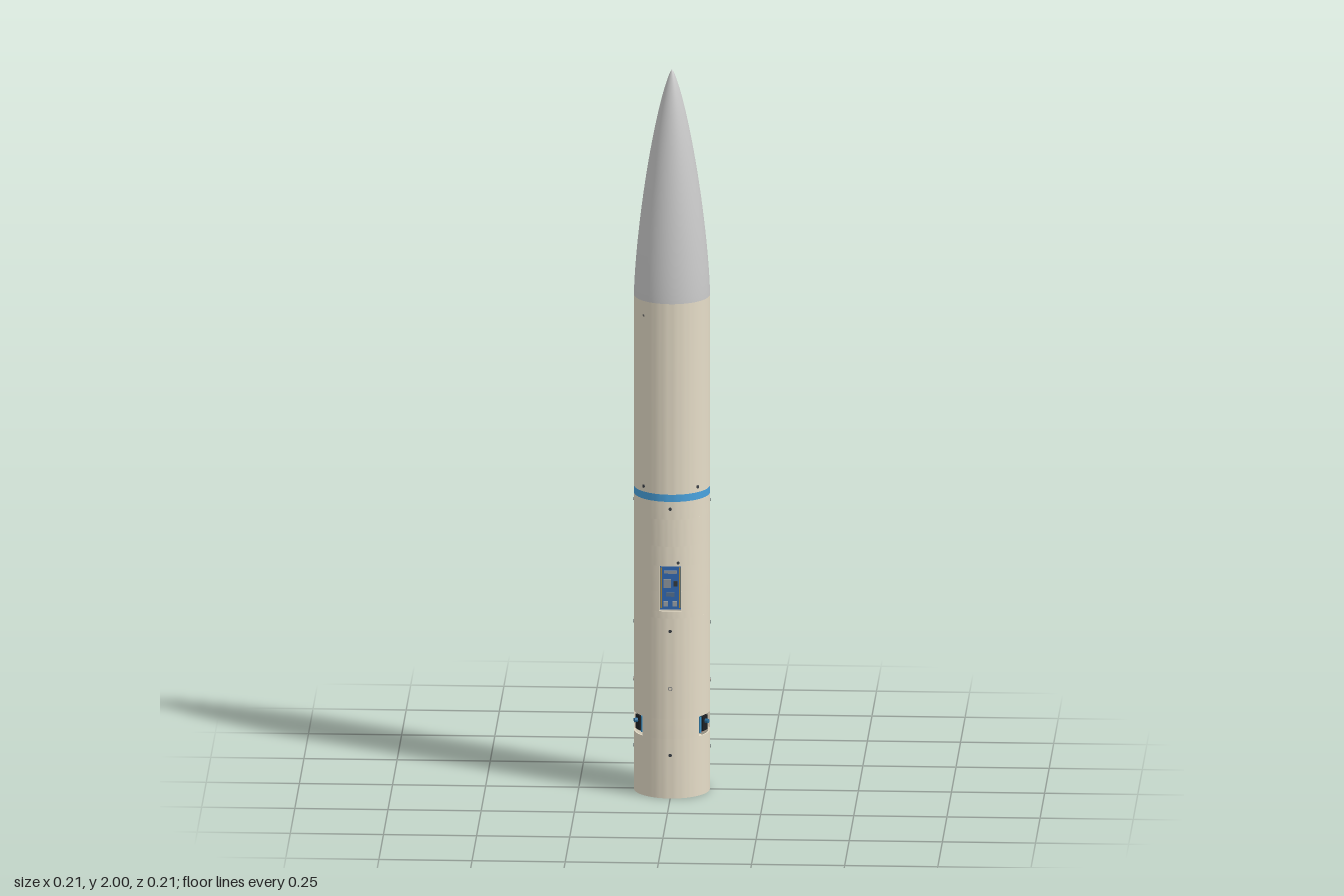
import * as THREE from 'three';
import { toCreasedNormals } from 'three/addons/utils/BufferGeometryUtils.js';

const R = 0.102, WALL = 0.004, NOSE_Y = 1.375, TOP = 2;
const DEG = Math.PI / 180;
const mat = (color, side = THREE.FrontSide) => new THREE.MeshStandardMaterial({ color, side });

// Openings in the airframe: azimuth from +z towards +x, half angle, height range
const WINDOWS = [
  { a: 0, half: 17, y0: 0.52, y1: 0.645 },
  { a: 180, half: 19, y0: 0.5, y1: 0.575 },
  { a: 180, half: 19, y0: 0.7, y1: 0.775 },
  { a: 65, half: 17, y0: 0.165, y1: 0.22 },
  { a: 295, half: 17, y0: 0.165, y1: 0.22 },
];

// Sector of tube wall with inner and outer skin
function wallSector(y0, y1, from, to) {
  const r = R - WALL;
  const profile = [[R, y0], [R, y1], [r, y1], [r, y0], [R, y0]].map(p => new THREE.Vector2(...p));
  const segs = Math.max(4, Math.round((to - from) / 4));
  return toCreasedNormals(new THREE.LatheGeometry(profile, segs, from * DEG, (to - from) * DEG), 0.6);
}

// Tube wall in bands, leaving out every window that crosses a band
function addWall(group, bottom, top, material) {
  const levels = [...new Set([bottom, top, ...WINDOWS.flatMap(w => [w.y0, w.y1])])]
    .filter(y => y >= bottom && y <= top).sort((a, b) => a - b);
  for (let i = 0; i + 1 < levels.length; i++) {
    const [y0, y1] = [levels[i], levels[i + 1]];
    const gaps = WINDOWS.filter(w => w.y0 <= y0 && w.y1 >= y1).sort((a, b) => a.a - b.a);
    const spans = gaps.length
      ? gaps.map((w, k) => {
        const next = gaps[(k + 1) % gaps.length];
        const end = next.a - next.half + (k + 1 === gaps.length ? 360 : 0);
        return [w.a + w.half, end];
      })
      : [[0, 360]];
    for (const [from, to] of spans) {
      const m = new THREE.Mesh(wallSector(y0, y1, from, to), material);
      m.name = 'bodyTube';
      group.add(m);
    }
  }
}

function add(group, name, geometry, color, x, y, z) {
  const m = new THREE.Mesh(geometry, mat(color));
  m.name = name;
  m.position.set(x, y, z);
  group.add(m);
  return m;
}
const box = (w, h, d) => new THREE.BoxGeometry(w, h, d);

// Group turned so that its +z points out of the tube at the given azimuth
function bay(parent, name, azimuth, y) {
  const g = new THREE.Group();
  g.name = name;
  g.rotation.y = azimuth * DEG;
  g.position.y = y;
  parent.add(g);
  return g;
}

export function createModel() {
  const model = new THREE.Group();
  model.name = 'rocket';

  // Airframe and coloured band
  const cream = mat(0xe6ddc8, THREE.DoubleSide);
  addWall(model, 0, 0.825, cream);
  addWall(model, 0.845, NOSE_Y, cream);
  const band = new THREE.Mesh(wallSector(0.825, 0.845, 0, 360), mat(0x4aa3df, THREE.DoubleSide));
  band.name = 'blueBand';
  model.add(band);

  // Nose cone with a rounded ogive profile
  const L = TOP - NOSE_Y, profile = [];
  for (let i = 0; i <= 40; i++) {
    const t = Math.PI * (1 - i / 40);
    const r = R * Math.sqrt(Math.max(0, t - Math.sin(2 * t) / 2) / Math.PI);
    profile.push(new THREE.Vector2(r, TOP - L * (1 - Math.cos(t)) / 2));
  }
  const nose = new THREE.Mesh(new THREE.LatheGeometry(profile, 72), mat(0xcccccc, THREE.DoubleSide));
  nose.name = 'noseCone';
  model.add(nose);

  // Motor tube with dark bore, held by bulkheads
  add(model, 'motorTube', new THREE.CylinderGeometry(0.033, 0.033, 0.4, 40), 0xa0522d, 0, 0.201, 0);
  add(model, 'motorBore', new THREE.CylinderGeometry(0.026, 0.026, 0.01, 40), 0x4a2a1c, 0, 0.005, 0);
  for (const y of [0.13, 0.42, 0.82]) {
    add(model, 'bulkhead', new THREE.CylinderGeometry(R - WALL, R - WALL, 0.008, 48), 0xe6ddc8, 0, y, 0);
  }

  // Front bay: blue circuit board with modules
  const front = bay(model, 'frontBay', 0, 0.5825);
  add(front, 'circuitBoard', box(0.056, 0.122, 0.004), 0x2f68b5, 0, 0, 0.085);
  for (const s of [-1, 1]) {
    add(front, 'pinStrip', box(0.004, 0.112, 0.004), 0xb08d3c, s * 0.025, 0, 0.088);
    add(front, 'connector', box(0.012, 0.014, 0.006), 0x9aa0a6, s * 0.012, -0.044, 0.089);
  }
  add(front, 'processor', box(0.02, 0.024, 0.006), 0x8c949c, -0.008, 0.012, 0.089);
  add(front, 'sensorChip', box(0.01, 0.014, 0.005), 0x33383d, 0.014, 0.012, 0.089);
  add(front, 'terminal', box(0.034, 0.008, 0.006), 0x8c949c, 0, 0.044, 0.089);
  add(front, 'chip', box(0.022, 0.012, 0.005), 0x55708f, 0, -0.018, 0.089);

  // Rear bays: green boards set deeper in the tube
  for (const y of [0.5375, 0.7375]) {
    const rear = bay(model, 'rearBay', 180, y);
    add(rear, 'greenBoard', box(0.066, 0.09, 0.004), 0x1f7a45, 0, 0, 0.05);
    if (y > 0.6) {
      add(rear, 'blueModule', box(0.026, 0.034, 0.008), 0x2f7fb5, -0.008, 0.004, 0.056);
      add(rear, 'chip', box(0.012, 0.012, 0.006), 0x24282c, 0.018, -0.018, 0.055);
    } else {
      add(rear, 'chip', box(0.014, 0.01, 0.005), 0x24282c, 0.01, -0.02, 0.054);
    }
  }

  // Lower side bays: small camera units
  for (const s of [-1, 1]) {
    const side = bay(model, 'cameraBay', s * 65, 0.1925);
    add(side, 'cameraBoard', box(0.056, 0.052, 0.004), s > 0 ? 0x8a3b2e : 0x2b6f9e, 0, 0, 0.084);
    add(side, 'cameraBody', box(0.026, 0.04, 0.012), 0x1d2024, s * 0.01, 0, 0.09);
    add(side, 'blueStrip', box(0.008, 0.044, 0.008), 0x3b8fc4, -s * 0.013, 0, 0.09);
    add(side, 'goldContact', box(0.008, 0.012, 0.006), 0xc9a13b, s * 0.023, -0.012, 0.088);
    const lens = add(side, 'lens', new THREE.CylinderGeometry(0.006, 0.006, 0.01, 20), 0x2b6f9e, s * 0.01, 0.006, 0.1);
    lens.rotation.x = Math.PI / 2;
  }

  // Screws and vent holes around the tube
  const dot = (azimuth, y, color = 0x3a3f45, r = 0.0045) => {
    const g = bay(model, 'screw', azimuth, y);
    const m = add(g, 'screwHead', new THREE.CylinderGeometry(r, r, 0.003, 16), color, 0, 0, R);
    m.rotation.x = Math.PI / 2;
    return m;
  };
  for (let a = 0; a < 360; a += 90) {
    for (const y of [0.12, 0.465, 0.805]) dot(a, y);
    dot(a, 0.305, 0x77797c, 0.006);
    dot(a, 0.305, 0xe6ddc8, 0.004).position.z += 0.0008;
    dot(a + 45, 0.86);
  }
  for (const a of [135, 315]) dot(a, 1.335, 0x6a6a66, 0.003);
  dot(12, 0.655, 0x3a3f45, 0.004);

  return model;
}
